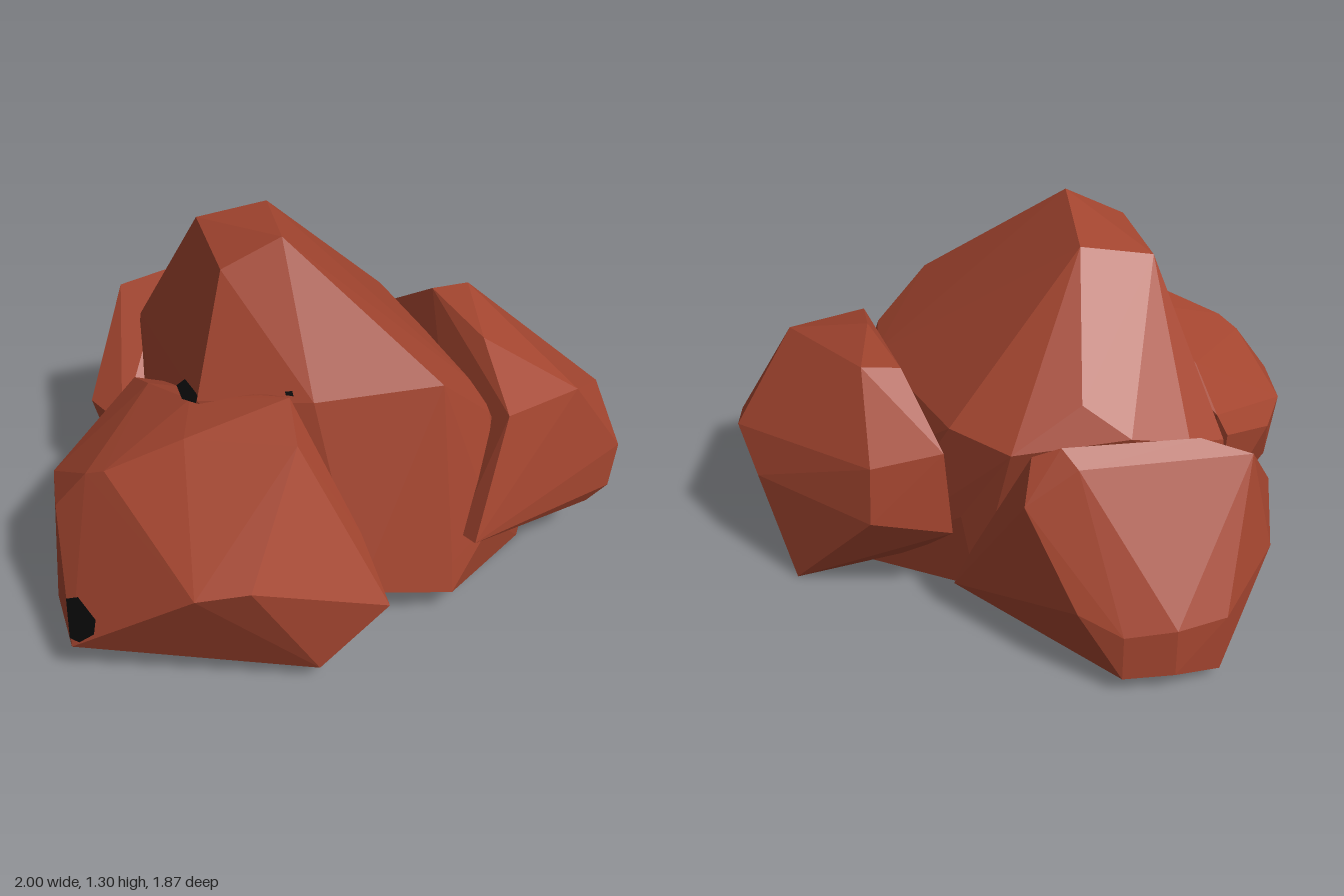
import * as THREE from 'three';
import { ConvexGeometry } from 'three/addons/geometries/ConvexGeometry.js';

// Each rock is the convex hull of a few corner points.
const rocks = {
  centralRock: [
    // peak
    [-0.17, 1.3, 0.14], [-0.17, 1.25, -0.2], [-0.37, 1.2, 0.14], [-0.41, 1.21, -0.2],
    // shoulders
    [0.3, 0.88, 0.45], [0.5, 0.67, 0.2], [0.48, 0.7, 0.38], [-0.13, 0.88, -0.56],
    [-0.28, 0.78, -0.62], [-0.48, 0.72, -0.57], [-0.61, 0.67, -0.49], [0.1, 0.74, -0.61],
    [0.28, 0.74, -0.43], [-0.12, 0.85, 0.43], [-0.48, 0.8, 0.28],
    // waist
    [0.49, 0.3, 0.47], [0.33, 0.22, 0.56], [0, 0.18, 0.61], [0.33, 0.1, 0.58],
    [-0.64, 0.45, -0.48], [-0.62, 0.35, 0.1], [0.25, 0.4, -0.45],
    // base
    [0.7, 0.15, 0.2], [0.67, 0, 0.22], [0.38, 0.02, 0.4], [0, 0, 0.33],
    [-0.55, 0, -0.05], [-0.5, 0.02, -0.3], [0.2, 0.06, -0.4], [0.6, 0.01, -0.12],
  ],
  frontRock: [
    // crest
    [-0.2, 0.89, 0.44], [-0.2, 0.81, 0.59], [-0.28, 0.86, 0.37], [-0.54, 0.765, 0.43],
    [-0.5, 0.78, 0.24], [-0.8, 0.64, 0.39], [-0.86, 0.6, 0.34], [-0.62, 0.68, -0.02],
    [-0.66, 0.58, -0.21],
    // front face
    [-0.4, 0.53, 0.93], [-0.57, 0.49, 0.89], [0.07, 0.25, 0.76], [0, 0.45, 0.62],
    [0.05, 0.22, 0.58], [-0.17, 0.06, 0.81], [-0.96, 0.14, 0.65],
    // outer side
    [-0.97, 0.45, 0.3], [-0.97, 0.44, 0.1], [-0.9, 0.4, -0.03], [-0.7, 0.5, -0.22],
    // base
    [-1, 0.05, 0.3], [-0.91, 0, 0.3], [-0.92, 0.06, 0.55], [-0.7, 0.12, -0.15],
    [-0.2, 0.03, 0.4], [-0.45, 0.02, 0.2],
  ],
  leftRock: [
    // crest
    [0.42, 0.84, -0.2], [0.55, 0.85, -0.2], [0.52, 0.83, 0.13], [0.8, 0.72, 0.33],
    [0.53, 0.72, 0.44], [0.54, 0.6, -0.43], [0.3, 0.65, -0.44],
    // outer side
    [0.99, 0.52, 0.02], [0.995, 0.42, 0.28], [0.97, 0.25, 0.29], [0.9, 0.18, 0.28],
    [0.93, 0.38, -0.1], [0.55, 0.4, -0.46],
    // front corner and base
    [0.4, 0.31, 0.58], [0.36, 0.3, 0.5], [0.28, 0.35, -0.47], [0.82, 0, -0.2],
    [0.55, 0.12, 0.2], [0.4, 0.12, -0.25],
  ],
  backRock: [
    // crest
    [-0.05, 0.8, -0.67], [0.04, 0.76, -0.65], [-0.1, 0.74, -0.71], [-0.5, 0.77, -0.62],
    [-0.67, 0.71, -0.64], [0.07, 0.62, -0.72],
    // outer side
    [-0.82, 0.4, -0.35], [-0.76, 0.33, -0.63], [-0.72, 0.4, -0.18], [-0.56, 0.26, -0.89],
    [-0.39, 0.26, -0.94], [-0.22, 0.24, -0.93], [-0.08, 0.3, -0.87], [0.22, 0.3, -0.5],
    [0.28, 0.13, -0.46],
    // base
    [-0.39, 0.08, -0.94], [-0.22, 0.07, -0.93], [-0.55, 0.04, -0.88], [-0.72, 0.13, -0.18],
    [0.1, 0.02, -0.4], [0, 0, -0.3], [-0.4, 0, -0.3],
  ],
};

// Small dark spots lying on the rock faces, as outlines.
const spots = {
  cornerSpot: [
    [-0.964, 0.16, 0.63], [-0.934, 0.173, 0.669], [-0.884, 0.223, 0.693],
    [-0.874, 0.263, 0.67], [-0.924, 0.283, 0.575], [-0.964, 0.253, 0.543],
  ],
  creviceSpot: [
    [-0.535, 0.785, 0.16], [-0.525, 0.785, 0.24], [-0.485, 0.805, 0.3],
    [-0.475, 0.815, 0.27], [-0.505, 0.8, 0.15],
  ],
  crestSpot: [
    [-0.21, 0.893, 0.41], [-0.21, 0.893, 0.43], [-0.185, 0.885, 0.43], [-0.185, 0.885, 0.4],
  ],
};

const toVectors = (list) => list.map((c) => new THREE.Vector3(...c));

// Flat patch: a fan of triangles around the first outline point.
function patchGeometry(outline) {
  const corners = [];
  for (let i = 1; i < outline.length - 1; i++) corners.push(outline[0], outline[i], outline[i + 1]);
  const geometry = new THREE.BufferGeometry().setFromPoints(toVectors(corners));
  geometry.computeVertexNormals();
  return geometry;
}

export function createModel() {
  const group = new THREE.Group();
  group.name = 'rockPile';

  const redStone = new THREE.MeshStandardMaterial({ color: 0xa54630 });
  redStone.name = 'redStone';
  const darkSpot = new THREE.MeshStandardMaterial({ color: 0x0a0a0a, side: THREE.DoubleSide });
  darkSpot.name = 'darkSpot';

  const add = (name, geometry, material) => {
    const mesh = new THREE.Mesh(geometry, material);
    mesh.name = name;
    group.add(mesh);
  };
  for (const [name, corners] of Object.entries(rocks)) add(name, new ConvexGeometry(toVectors(corners)), redStone);
  for (const [name, outline] of Object.entries(spots)) add(name, patchGeometry(outline), darkSpot);
  return group;
}
